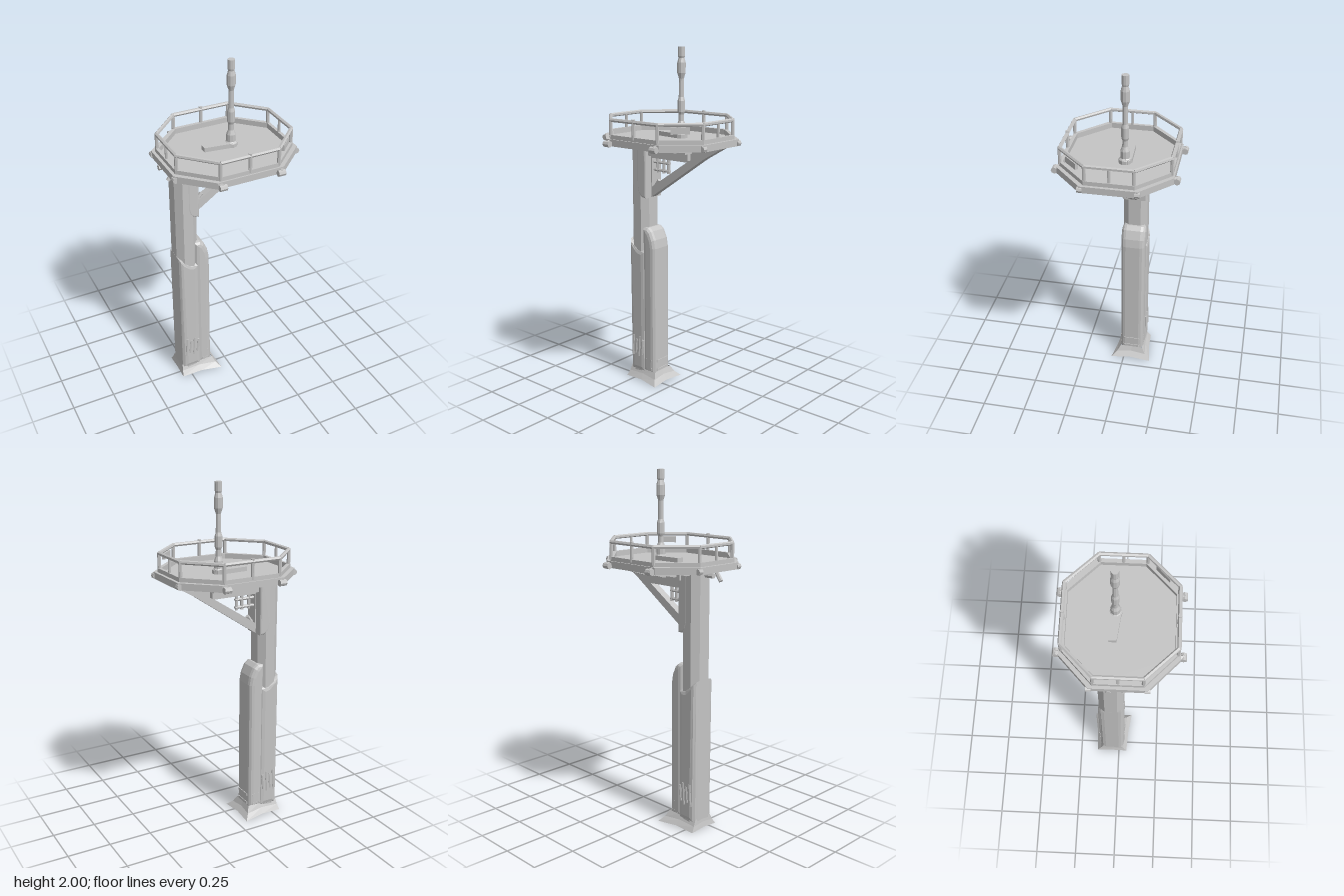
import * as THREE from 'three';

export function createModel() {
  const model = new THREE.Group();
  const gray = new THREE.MeshStandardMaterial({ color: 0xc4c4c4, flatShading: true, side: THREE.DoubleSide });
  gray.name = 'gray metal';
  const Z = -0.045; // centre line of the column

  const add = (name, geo) => {
    const m = new THREE.Mesh(geo, gray);
    m.name = name;
    model.add(m);
    return m;
  };
  const box = (name, x0, x1, y0, y1, z0, z1) =>
    add(name, new THREE.BoxGeometry(x1 - x0, y1 - y0, z1 - z0)
      .translate((x0 + x1) / 2, (y0 + y1) / 2, (z0 + z1) / 2));
  const shapeOf = pts => new THREE.Shape(pts.map(p => new THREE.Vector2(...p)));
  // upright prism from an x/z outline
  const prism = (name, pts, y0, y1, hole) => {
    const s = shapeOf(pts);
    if (hole) s.holes.push(shapeOf(hole));
    return add(name, new THREE.ExtrudeGeometry(s, { depth: y1 - y0, bevelEnabled: false })
      .rotateX(Math.PI / 2).translate(0, y1, 0));
  };
  // side profile in x/y, given a thickness in z
  const slab = (name, pts, width, z, bevel = 0, hole) => {
    const s = shapeOf(pts);
    if (hole) s.holes.push(shapeOf(hole));
    return add(name, new THREE.ExtrudeGeometry(s, {
      depth: width - 2 * bevel, bevelEnabled: bevel > 0, bevelThickness: bevel,
      bevelSize: bevel, bevelOffset: -bevel, bevelSegments: 3,
    }).translate(0, 0, z - width / 2 + bevel));
  };
  const bar = (name, a, b, r, sides = 6) => {
    const A = new THREE.Vector3(...a), B = new THREE.Vector3(...b);
    const d = B.clone().sub(A);
    const m = add(name, new THREE.CylinderGeometry(r, r, d.length(), sides));
    m.position.copy(A).add(B).multiplyScalar(0.5);
    m.quaternion.setFromUnitVectors(new THREE.Vector3(0, 1, 0), d.normalize());
    return m;
  };
  const oct = (a, b, cx, cz) => [[a, cz], [cx, b], [-cx, b], [-a, cz], [-a, -cz], [-cx, -b], [cx, -b], [a, -cz]];
  const octAt = (x, z, a, b, c) => oct(a, b, a - c, b - c).map(p => [p[0] + x, p[1] + z]);

  // Column with a slightly thicker lower sleeve
  prism('column', octAt(-0.234, Z, 0.064, 0.071, 0.035), 0.03, 1.47);
  slab('columnSleeve', [[-0.299, 0.04], [-0.168, 0.04], [-0.168, 0.82], [-0.22, 0.83], [-0.299, 0.88]],
    0.154, Z, 0.036);

  // Rounded side housing with collars at its foot
  slab('sideHousing', [[-0.2, 0.05], [-0.103, 0.05], [-0.103, 0.84], [-0.112, 0.89], [-0.135, 0.94], [-0.16, 0.96], [-0.2, 0.96]],
    0.145, Z, 0.03);
  for (const y of [0.07, 0.125]) prism('housingCollar', octAt(-0.147, Z, 0.048, 0.073, 0.028), y, y + 0.015);

  // Flared foot skirt, rounder on the column side; x0, x1, half depth at each end
  const rings = [
    [0.065, -0.297, -0.1, 0.06, 0.07],
    [0.03, -0.301, -0.085, 0.075, 0.09],
    [0, -0.308, -0.058, 0.095, 0.122],
  ];
  const pos = [], idx = [];
  for (const [y, x0, x1, d0, d1] of rings) {
    const xm = (x0 + x1) / 2, dm = (d0 + d1) / 2;
    for (const [u, v] of [[-1, -1], [-1, 0], [-1, 1], [0, 1], [1, 1], [1, 0], [1, -1], [0, -1]]) {
      const k = u && v ? 1 : 0.94;
      const d = u < 0 ? d0 : u > 0 ? d1 : dm;
      pos.push(xm + u * (u < 0 ? 1 : k) * (x1 - x0) / 2, y + (u && v ? 0 : 0.008), Z + v * k * d);
    }
  }
  for (let r = 0; r < 2; r++) for (let i = 0; i < 8; i++) {
    const a = r * 8 + i, b = r * 8 + (i + 1) % 8;
    idx.push(a, a + 8, b, b, a + 8, b + 8);
  }
  const skirt = new THREE.BufferGeometry();
  skirt.setAttribute('position', new THREE.Float32BufferAttribute(pos, 3));
  skirt.setIndex(idx);
  skirt.computeVertexNormals();
  add('footSkirt', skirt);

  // Short pipes low on the front and back of the column
  for (const z of [Z + 0.074, Z - 0.074]) for (let i = 0; i < 4; i++) {
    const x = -0.272 + i * 0.024;
    bar('columnPipe', [x, 0.145 + (i % 2) * 0.015, z], [x + 0.008, 0.275 - (i % 2) * 0.02, z], 0.008);
  }

  // Triangular bracket with an open middle, and the sleeve that clasps the column
  slab('bracket', [[-0.235, 1.18], [-0.21, 1.145], [-0.17, 1.135], [0.22, 1.4], [0.36, 1.48], [-0.235, 1.48]],
    0.045, Z, 0, [[-0.16, 1.2], [-0.16, 1.37], [0.1, 1.37]]);
  slab('bracketClasp', [[-0.235, 1.2], [-0.225, 1.16], [-0.2, 1.138], [-0.165, 1.135], [-0.165, 1.47], [-0.235, 1.47]],
    0.144, Z, 0.012);
  for (const y of [1.3, 1.345]) bar('bracketPipe', [-0.17, y, Z], [-0.04, y, Z], 0.009);
  for (const x of [-0.13, -0.085, -0.05]) bar('bracketPipe', [x, 1.285, Z], [x, 1.375, Z], 0.009);
  bar('bracketPipe', [-0.15, 1.2, Z], [-0.12, 1.24, Z], 0.012);

  // Keel and shallow tapered ribs under the deck
  box('keel', -0.19, 0.14, 1.425, 1.48, Z - 0.085, Z + 0.085);
  box('keelLower', -0.18, 0.13, 1.385, 1.43, Z - 0.05, Z + 0.05);
  for (const x of [-0.25, -0.16, -0.08, 0, 0.08, 0.16, 0.25]) {
    const e = Math.abs(x) > 0.2 ? 0.2 : 0.28;
    const low = 1.43 + Math.max(0, Math.abs(x) - 0.1) * 0.18;
    const rib = slab('deckRib', [[-e, 1.485], [-e, 1.47], [Z - 0.1, low], [Z + 0.1, low], [e, 1.47], [e, 1.485]], 0.014, 0);
    rib.rotation.y = -Math.PI / 2; // profile x becomes z
    rib.position.x = x;
  }

  // Octagonal deck and rims
  const deck = oct(0.328, 0.283, 0.162, 0.12);
  prism('deck', oct(0.345, 0.3, 0.165, 0.13), 1.472, 1.505);
  prism('lowerRim', oct(0.363, 0.312, 0.19, 0.15), 1.475, 1.512, deck);
  prism('upperRim', oct(0.346, 0.303, 0.168, 0.133), 1.5, 1.535, deck);

  // Guard rail
  const rail = oct(0.336, 0.297, 0.168, 0.128);
  rail.forEach(([x, z], i) => {
    const [nx, nz] = rail[(i + 1) % 8];
    bar('topRail', [x, 1.615, z], [nx, 1.615, nz], 0.011);
    bar('railPost', [x, 1.52, z], [x, 1.618, z], 0.01);
  });
  for (const s of [-1, 1]) {
    bar('middlePost', [0, 1.52, s * 0.297], [0, 1.63, s * 0.297], 0.01);
    bar('middlePost', [s * 0.336, 1.52, 0], [s * 0.336, 1.618, 0], 0.008);
  }
  const railBox = add('railBox', new THREE.BoxGeometry(0.1, 0.035, 0.016).translate(0, 1.583, 0));
  railBox.position.set(0.252, 0, 0.213);
  railBox.rotation.y = Math.PI / 4;

  // Lamp knobs around the rim corners
  for (const sx of [-1, 1]) for (const sz of [-1, 1]) {
    bar('lampArm', [sx * 0.175, 1.49, sz * 0.29], [sx * 0.168, 1.49, sz * 0.33], 0.018);
    bar('lamp', [sx * 0.148, 1.488, sz * 0.326], [sx * 0.188, 1.488, sz * 0.326], 0.018, 8);
    bar('lampArm', [sx * 0.325, 1.49, sz * 0.135], [sx * 0.355, 1.49, sz * 0.15], 0.016);
    bar('lamp', [sx * 0.355, 1.49, sz * 0.135], [sx * 0.355, 1.49, sz * 0.163], 0.017, 8);
  }
  bar('sideHook', [-0.31, 1.47, 0.03], [-0.345, 1.42, 0.03], 0.012);
  bar('sideHook', [-0.31, 1.46, -0.05], [-0.365, 1.46, -0.05], 0.015);

  // Mast with stepped collars
  const profile = [[0.036, 1.5], [0.036, 1.525], [0.026, 1.535], [0.026, 1.575], [0.016, 1.6], [0.015, 1.635],
    [0.021, 1.65], [0.021, 1.71], [0.015, 1.73], [0.014, 1.83], [0.024, 1.86], [0.024, 1.915],
    [0.017, 1.94], [0.02, 1.95], [0.02, 2], [0, 2]];
  const mast = add('mast', new THREE.LatheGeometry(profile.map(p => new THREE.Vector2(...p)), 10));
  mast.position.set(0.055, 0, -0.03);

  // Tapered arm lying on the deck beside the mast
  prism('deckArm', [[-0.108, -0.06], [0.055, -0.068], [0.085, -0.05], [0.085, -0.015], [0.05, 0.002], [-0.108, -0.018]], 1.5, 1.53);
  return model;
}
